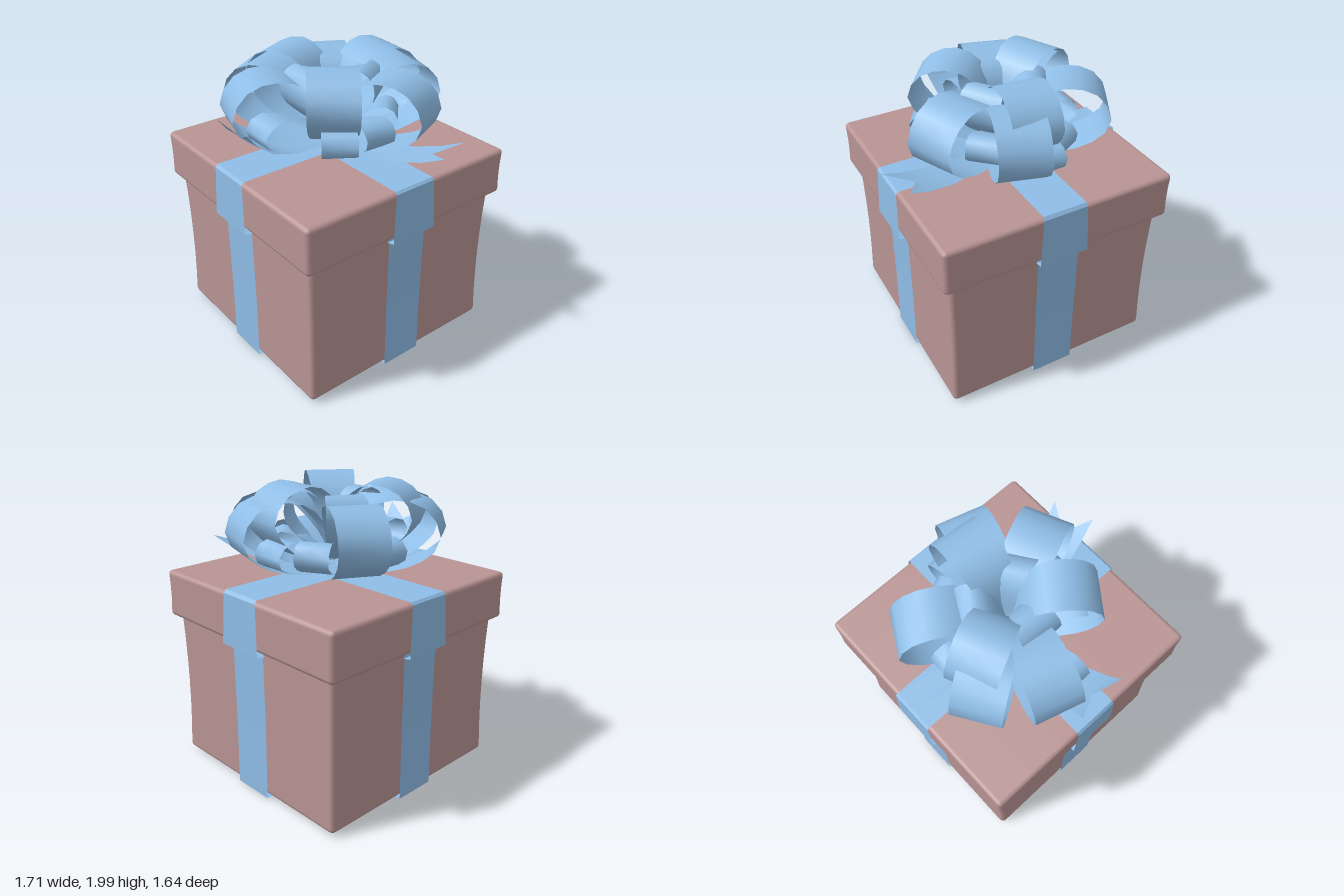
import * as THREE from 'three';

const CX = -0.035; // the box sits slightly off the middle because one bow tail sticks out
const boxMat = new THREE.MeshStandardMaterial({ color: 0xb99494 });
const ribbonMat = new THREE.MeshStandardMaterial({ color: 0x8fbde6, side: THREE.DoubleSide });
const wrapMat = new THREE.MeshStandardMaterial({ color: 0x8fbde6, side: THREE.DoubleSide, flatShading: true });

// Box with rounded edges whose walls bow gently inwards by "dent"
function softBox(name, half, height, bottom, r, dent) {
  const g = new THREE.BoxGeometry(2, 2, 2, 10, 10, 10);
  const p = g.attributes.position, n = g.attributes.normal;
  const h = [half, height / 2, half];
  const spread = (t, s) => {
    const levels = [0, (s - r) / 3, (s - r) * 2 / 3, s - r, s - r * 0.4, s];
    return Math.sign(t) * levels[Math.round(Math.abs(t) * 5)];
  };
  for (let i = 0; i < p.count; i++) {
    const v = [p.getX(i), p.getY(i), p.getZ(i)].map((t, k) => spread(t, h[k]));
    const inner = new THREE.Vector3(...v.map((t, k) => THREE.MathUtils.clamp(t, r - h[k], h[k] - r)));
    const normal = new THREE.Vector3(...v).sub(inner).normalize();
    const q = inner.addScaledVector(normal, r);
    const f = 1 - dent * (1 - (q.y / h[1]) ** 2);
    p.setXYZ(i, q.x * f, q.y, q.z * f);
    n.setXYZ(i, normal.x, normal.y, normal.z);
  }
  const mesh = new THREE.Mesh(g, boxMat);
  mesh.name = name;
  mesh.position.set(CX, bottom + height / 2, 0);
  return mesh;
}

// Ribbon along a path of [reach, height, half width]; notch cuts a V in its end
function strip(rows, notch = false) {
  const pos = [], idx = [];
  rows.forEach(([x, y, w], i) => {
    const mid = notch && i === rows.length - 1 ? rows[i - 1] : rows[i];
    pos.push(x, y, w, mid[0], mid[1], 0, x, y, -w);
    if (i) {
      for (let c = 0; c < 2; c++) {
        const a = (i - 1) * 3 + c, b = a + 1, d = a + 3, e = a + 4;
        idx.push(a, d, b, b, d, e);
      }
    }
  });
  const g = new THREE.BufferGeometry();
  g.setAttribute('position', new THREE.Float32BufferAttribute(pos, 3));
  g.setIndex(idx);
  g.computeVertexNormals();
  return g;
}

// Loop profiles: out along the bottom, round the tip and back over the top
const PROFILES = {
  outer: [[0, 1.39, 0.05], [0.25, 1.41, 0.13], [0.5, 1.47, 0.155], [0.66, 1.57, 0.16], [0.705, 1.68, 0.16],
    [0.63, 1.83, 0.16], [0.47, 1.895, 0.16], [0.26, 1.85, 0.155], [0.1, 1.68, 0.1], [0, 1.48, 0.05]],
  upper: [[0, 1.42, 0.05], [0.25, 1.5, 0.12], [0.46, 1.62, 0.155], [0.57, 1.79, 0.16],
    [0.48, 1.94, 0.16], [0.29, 1.99, 0.16], [0.13, 1.9, 0.14], [0.02, 1.6, 0.05]],
  inner: [[0, 1.45, 0.04], [0.18, 1.58, 0.1], [0.3, 1.72, 0.14], [0.3, 1.85, 0.14],
    [0.2, 1.92, 0.12], [0.08, 1.84, 0.06], [0.01, 1.6, 0.04]],
  small: [[0, 1.4, 0.03], [0.25, 1.43, 0.08], [0.48, 1.48, 0.11], [0.58, 1.56, 0.11],
    [0.5, 1.66, 0.11], [0.3, 1.62, 0.08], [0, 1.47, 0.03]],
};

function profileRows(points, scale) {
  const curve = new THREE.CatmullRomCurve3(points.map(([x, y, w]) => new THREE.Vector3(x * scale, y, w)));
  return curve.getSpacedPoints(18).map(v => [v.x, v.y, v.z]);
}

// Turn a part built along +x towards the floor direction (dx, dz)
function aim(mesh, name, dx, dz) {
  mesh.name = name;
  mesh.position.x = CX;
  mesh.rotation.y = Math.atan2(-dz, dx);
  return mesh;
}

export function createModel() {
  const model = new THREE.Group();
  model.name = 'giftBox';

  // Box and lid
  model.add(softBox('boxBody', 0.75, 1.06, 0.03, 0.03, 0.016));
  model.add(softBox('lid', 0.8, 0.32, 1.05, 0.03, 0.006));

  // Two ribbons wrapped right round the box, flaring over the lid edge
  for (let k = 0; k < 2; k++) {
    const o = k * 0.006;
    const side = [[0, 1.38 + o, 0.15], [0.79, 1.38 + o, 0.15], [0.806, 1.365, 0.152], [0.818, 1.03, 0.17],
      [0.765, 1.02, 0.17], [0.755, 1.05, 0.148], [0.752, 0.5, 0.148], [0.758, 0.015 - o, 0.148], [0, 0.012 - o, 0.148]];
    const back = side.slice(1, -1).reverse().map(([x, y, w]) => [-x, y, w]);
    const wrap = new THREE.Mesh(strip([...side, ...back, side[0]]), wrapMat);
    model.add(aim(wrap, k ? 'wrapFrontToBack' : 'wrapSideToSide', 1 - k, k));
  }

  // Bow loops: profile, direction, reach scale
  const bow = new THREE.Group();
  bow.name = 'bow';
  const loops = [
    ['outer', 0.2, -0.67, 1], ['outer', -0.6, -0.34, 0.98], ['outer', -0.595, 0.375, 1],
    ['outer', -0.2, 0.67, 1], ['outer', 0.625, -0.275, 0.98],
    ['upper', 0.06, -0.58, 1.02], ['upper', -0.51, 0.235, 0.98], ['upper', 0.44, 0.33, 0.98],
    ['inner', -0.25, -0.14, 1], ['inner', 0.22, -0.16, 1], ['inner', 0, 0.3, 1],
    ['small', -0.23, -0.42, 0.88], ['small', -0.53, 0, 0.92], ['small', 0.52, 0.02, 0.9],
    ['small', 0.01, 0.6, 1.05], ['small', -0.02, -0.62, 1.05], ['small', 0.3, -0.32, 0.75], ['small', 0.49, 0.32, 1],
  ];
  for (const [kind, dx, dz, scale] of loops) {
    const mesh = new THREE.Mesh(strip(profileRows(PROFILES[kind], scale)), ribbonMat);
    bow.add(aim(mesh, kind + 'Loop', dx, dz));
  }

  // Notched ribbon tails
  const sideTail = [[0, 1.39, 0.06], [0.3, 1.395, 0.11], [0.55, 1.42, 0.13], [0.74, 1.475, 0.138], [0.89, 1.54, 0.14]];
  const frontTail = [[0, 1.4, 0.05], [0.35, 1.42, 0.09], [0.58, 1.51, 0.14], [0.71, 1.61, 0.155], [0.78, 1.7, 0.165]];
  bow.add(aim(new THREE.Mesh(strip(sideTail, true), ribbonMat), 'sideTail', 0.85, -0.275));
  bow.add(aim(new THREE.Mesh(strip(frontTail, true), ribbonMat), 'frontTail', 0.03, 0.78));
  model.add(bow);

  return model;
}
